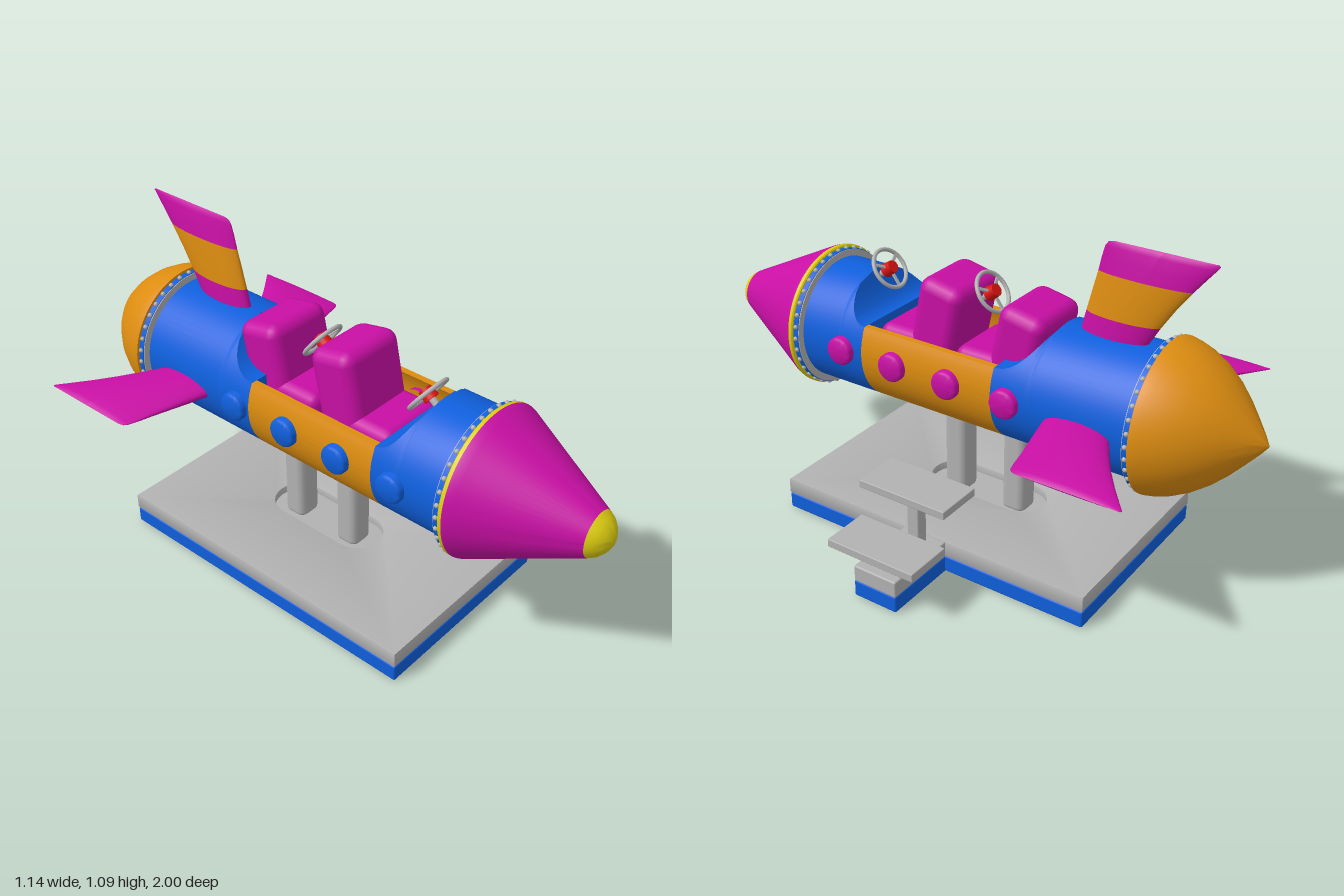
import * as THREE from 'three';
import { toCreasedNormals } from 'three/addons/utils/BufferGeometryUtils.js';
import { RoundedBoxGeometry } from 'three/addons/geometries/RoundedBoxGeometry.js';

const mat = (name, color) => new THREE.MeshStandardMaterial({ name, color });
const grey = mat('grey', 0xb2b2b2);
const blue = mat('blue', 0x0f5fdc);
const magenta = mat('magenta', 0xc80fa4);
const orange = mat('orange', 0xdc8c10);
const yellow = mat('yellow', 0xdccc10);
const red = mat('red', 0xdc1410);

const R = 0.212; // hull radius
const RIM = 0.095; // cockpit rim height above the hull axis

function add(parent, name, geometry, material, x = 0, y = 0, z = 0) {
  const mesh = new THREE.Mesh(geometry, material);
  mesh.name = name;
  mesh.position.set(x, y, z);
  parent.add(mesh);
  return mesh;
}

const box = (w, h, d, r = 0.006) => new RoundedBoxGeometry(w, h, d, 2, r);

// Skin stretched over equal-length rings of points
function loft(rings) {
  const n = rings[0].length;
  const index = [];
  for (let i = 0; i < rings.length - 1; i++) {
    for (let j = 0; j < n - 1; j++) {
      const a = i * n + j;
      index.push(a, a + 1, a + n, a + 1, a + n + 1, a + n);
    }
  }
  const g = new THREE.BufferGeometry();
  g.setAttribute('position', new THREE.Float32BufferAttribute(rings.flat(2), 3));
  g.setIndex(index);
  g.computeVertexNormals();
  return g;
}

// Turned part along +z, profile as [radius, z] with z rising
function turned(profile, segments = 64) {
  const g = new THREE.LatheGeometry(profile.map(([r, z]) => new THREE.Vector2(r, z)), segments);
  return toCreasedNormals(g.rotateX(Math.PI / 2), 0.6);
}

// Blue hull end: a tube whose top sweeps down to the cockpit rim
function hullEnd(parent, name, cockpitZ, slopeZ, endZ) {
  const stations = [{ z: cockpitZ, g: Math.acos(RIM / R) }];
  for (let i = 1; i <= 12; i++) {
    const t = i / 12;
    const h = RIM + (R - RIM) * t ** 2.3;
    stations.push({ z: cockpitZ + (slopeZ - cockpitZ) * t, g: Math.acos(Math.min(1, h / R)) });
  }
  stations.push({ z: endZ, g: 0 });
  if (endZ < cockpitZ) stations.reverse();
  const at = (a, z) => [R * Math.cos(a), R * Math.sin(a), z];
  const top = Math.PI / 2;
  const skin = stations.map(({ z, g }) => Array.from({ length: 65 },
    (_, j) => at(top + g + (j / 64) * (2 * Math.PI - 2 * g), z)));
  const deck = stations.map(({ z, g }) => [at(top - g, z), at(top + g, z)]);
  add(parent, name, loft(skin), blue);
  add(parent, name + 'Deck', loft(deck), blue);
  // Bulkhead closing the hull below the deck
  const gap = Math.acos(RIM / R);
  const s = new THREE.Shape();
  s.absarc(0, 0, R, top + gap, top + 2 * Math.PI - gap, false);
  const wall = add(parent, name + 'Bulkhead', new THREE.ShapeGeometry(s, 48), blue, 0, 0, cockpitZ);
  if (endZ > cockpitZ) wall.rotation.y = Math.PI;
}

// Open middle of the hull, a curved wall with thickness
function cockpitTub() {
  const g = Math.acos(RIM / R), r = R - 0.02, gi = Math.acos(RIM / r), top = Math.PI / 2;
  const s = new THREE.Shape();
  s.absarc(0, 0, R, top + g, top + 2 * Math.PI - g, false);
  s.absarc(0, 0, r, top + 2 * Math.PI - gi, top + gi, true);
  const geo = new THREE.ExtrudeGeometry(s, { depth: 0.5, bevelEnabled: false, curveSegments: 64 });
  return toCreasedNormals(geo.translate(0, 0, -0.19), 0.5);
}

// Swept fin stations: [distance from axis, leading z, trailing z, half thickness]
const FIN = [
  [0.15, -0.365, -0.575, 0.037], [0.215, -0.38, -0.605, 0.035], [0.272, -0.393, -0.637, 0.033],
  [0.34, -0.409, -0.68, 0.029], [0.405, -0.425, -0.727, 0.023], [0.45, -0.434, -0.762, 0.017],
  [0.485, -0.443, -0.79, 0.011], [0.498, -0.453, -0.8, 0.006], [0.503, -0.47, -0.795, 0],
];
function finPart(from, to) {
  return loft(FIN.slice(from, to + 1).map(([d, lead, trail, t]) => Array.from({ length: 33 }, (_, j) => {
    const a = (j / 32) * Math.PI * 2;
    return [t * Math.cos(a), d, (lead + trail) / 2 - ((lead - trail) / 2) * Math.sin(a)];
  })));
}

// Flange with a plate facing the hull and a circle of studs
function flange(parent, name, z, side) {
  add(parent, name, new THREE.CylinderGeometry(0.237, 0.237, 0.02, 64).rotateX(Math.PI / 2), blue, 0, 0, z);
  add(parent, name + 'Plate', new THREE.CylinderGeometry(0.235, 0.235, 0.006, 64).rotateX(Math.PI / 2), grey, 0, 0, z + side * 0.01);
  const stud = new THREE.SphereGeometry(0.008, 10, 8);
  for (let i = 0; i < 36; i++) {
    const a = (i / 36) * Math.PI * 2;
    add(parent, name + 'Stud', stud, grey, 0.237 * Math.cos(a), 0.237 * Math.sin(a), z);
  }
}

function steeringWheel(parent, y, z) {
  const w = new THREE.Group();
  w.name = 'steeringWheel';
  w.position.set(-0.02, y, z);
  w.rotation.x = Math.atan2(-0.6, -0.8);
  add(w, 'wheelRim', new THREE.TorusGeometry(0.068, 0.007, 10, 40), grey);
  for (let i = 0; i < 3; i++) {
    const spoke = add(w, 'wheelSpoke', new THREE.BoxGeometry(0.01, 0.066, 0.006).translate(0, 0.034, 0), grey);
    spoke.rotation.z = (i * Math.PI * 2) / 3;
  }
  add(w, 'wheelHub', new THREE.CylinderGeometry(0.021, 0.025, 0.036, 20).rotateX(Math.PI / 2), red);
  add(w, 'wheelColumn', new THREE.CylinderGeometry(0.011, 0.011, 0.11, 16).rotateX(Math.PI / 2), grey, 0, 0, -0.06);
  parent.add(w);
}

function seat(parent, y, z) {
  const back = add(parent, 'seatBack', box(0.25, 0.33, 0.165, 0.04), magenta, 0, y, z);
  back.rotation.x = -0.2;
  add(parent, 'seatCushion', box(0.25, 0.11, 0.2, 0.035), magenta, 0, 0.03, z + 0.115);
}

function stadium(cls, halfW, z0, z1) {
  const p = new cls();
  p.absarc(-0.07, -z0 - halfW, halfW, 0, Math.PI, false);
  p.absarc(-0.07, -z1 + halfW, halfW, Math.PI, Math.PI * 2, false);
  p.closePath();
  return p;
}

function buildBase(root) {
  const base = new THREE.Group();
  base.name = 'base';
  root.add(base);
  add(base, 'baseLower', box(0.71, 0.057, 1.155), blue, -0.07, 0.0285, -0.045);
  // Upper slab with a slot around the pillars
  const slab = new THREE.Shape();
  slab.moveTo(-0.421, -0.528).lineTo(0.281, -0.528).lineTo(0.281, 0.618).lineTo(-0.421, 0.618).closePath();
  slab.holes.push(stadium(THREE.Path, 0.09, -0.27, 0.17));
  const top = new THREE.ExtrudeGeometry(slab, { depth: 0.047, bevelSize: 0.004, bevelThickness: 0.004, bevelSegments: 2, curveSegments: 20 });
  add(base, 'baseUpper', toCreasedNormals(top.rotateX(-Math.PI / 2), 0.6), grey, 0, 0.061, 0);
  const floor = new THREE.ShapeGeometry(stadium(THREE.Shape, 0.095, -0.275, 0.175), 20);
  add(base, 'slotFloor', floor.rotateX(-Math.PI / 2), grey, 0, 0.085, 0);
  for (const z of [0.062, -0.17]) add(base, 'pillar', box(0.09, 0.34, 0.085, 0.025), grey, -0.07, 0.24, z);
  // Boarding steps
  add(base, 'stepBaseLower', box(0.262, 0.057, 0.16), blue, 0.414, 0.0285, -0.044);
  add(base, 'stepBaseUpper', box(0.262, 0.057, 0.16), grey, 0.414, 0.0835, -0.044);
  for (const [x, y] of [[0.328, 0.31], [0.488, 0.18]]) {
    add(base, 'stepPlate', box(0.166, 0.028, 0.322, 0.003), grey, x, y, -0.048);
    add(base, 'stepPost', box(0.044, y - 0.11, 0.044), grey, x, (y + 0.1) / 2, -0.045);
  }
}

export function createModel() {
  const root = new THREE.Group();
  root.name = 'rocketRide';
  buildBase(root);

  const rocket = new THREE.Group();
  rocket.name = 'rocket';
  rocket.position.set(-0.07, 0.585, 0);
  root.add(rocket);

  // Hull
  hullEnd(rocket, 'frontHull', 0.31, 0.41, 0.57);
  hullEnd(rocket, 'rearHull', -0.19, -0.33, -0.665);
  add(rocket, 'cockpitTub', cockpitTub(), orange);
  add(rocket, 'cockpitFloor', new THREE.BoxGeometry(0.37, 0.01, 0.5), orange, 0, -0.03, 0.06);

  // Nose and tail
  flange(rocket, 'frontFlange', 0.57, -1);
  flange(rocket, 'rearFlange', -0.665, 1);
  add(rocket, 'noseBand', turned([[0, 0.579], [0.242, 0.579], [0.246, 0.583], [0.246, 0.594]]), yellow);
  add(rocket, 'noseCone', turned([[0.246, 0.594], [0.243, 0.604], [0.235, 0.62], [0.074, 0.948]]), magenta);
  add(rocket, 'noseTip', turned([[0.074, 0.948], [0.062, 0.968], [0.042, 0.986], [0.02, 0.997], [0, 1]], 32), yellow);
  add(rocket, 'tailDome', turned([[0, -1], [0.03, -0.978], [0.075, -0.94], [0.12, -0.9], [0.163, -0.855], [0.2, -0.805],
    [0.226, -0.755], [0.241, -0.71], [0.246, -0.685], [0.246, -0.675], [0, -0.675]]), orange);

  // Fins
  add(rocket, 'topFinRoot', finPart(0, 2), magenta);
  add(rocket, 'topFinBand', finPart(2, 4), orange);
  add(rocket, 'topFinTip', finPart(4, 8), magenta);
  for (const [name, s] of [['leftWing', 1], ['rightWing', -1]]) {
    add(rocket, name, finPart(0, 8), magenta, 0, -0.022, 0).rotation.z = (-s * Math.PI) / 2;
  }

  // Portholes
  const porthole = turned([[0.048, 0.17], [0.048, 0.226], [0.045, 0.232], [0.038, 0.236], [0, 0.236]], 32);
  for (const z of [0.39, 0.18, -0.03, -0.245]) {
    add(rocket, 'leftPorthole', porthole, magenta, 0, 0, z).rotation.y = Math.PI / 2;
    add(rocket, 'rightPorthole', porthole, blue, 0, 0, z).rotation.y = -Math.PI / 2;
  }

  // Cockpit fittings
  seat(rocket, 0.112, 0.093);
  seat(rocket, 0.09, -0.205);
  steeringWheel(rocket, 0.215, 0.365);
  steeringWheel(rocket, 0.232, -0.045);
  return root;
}
